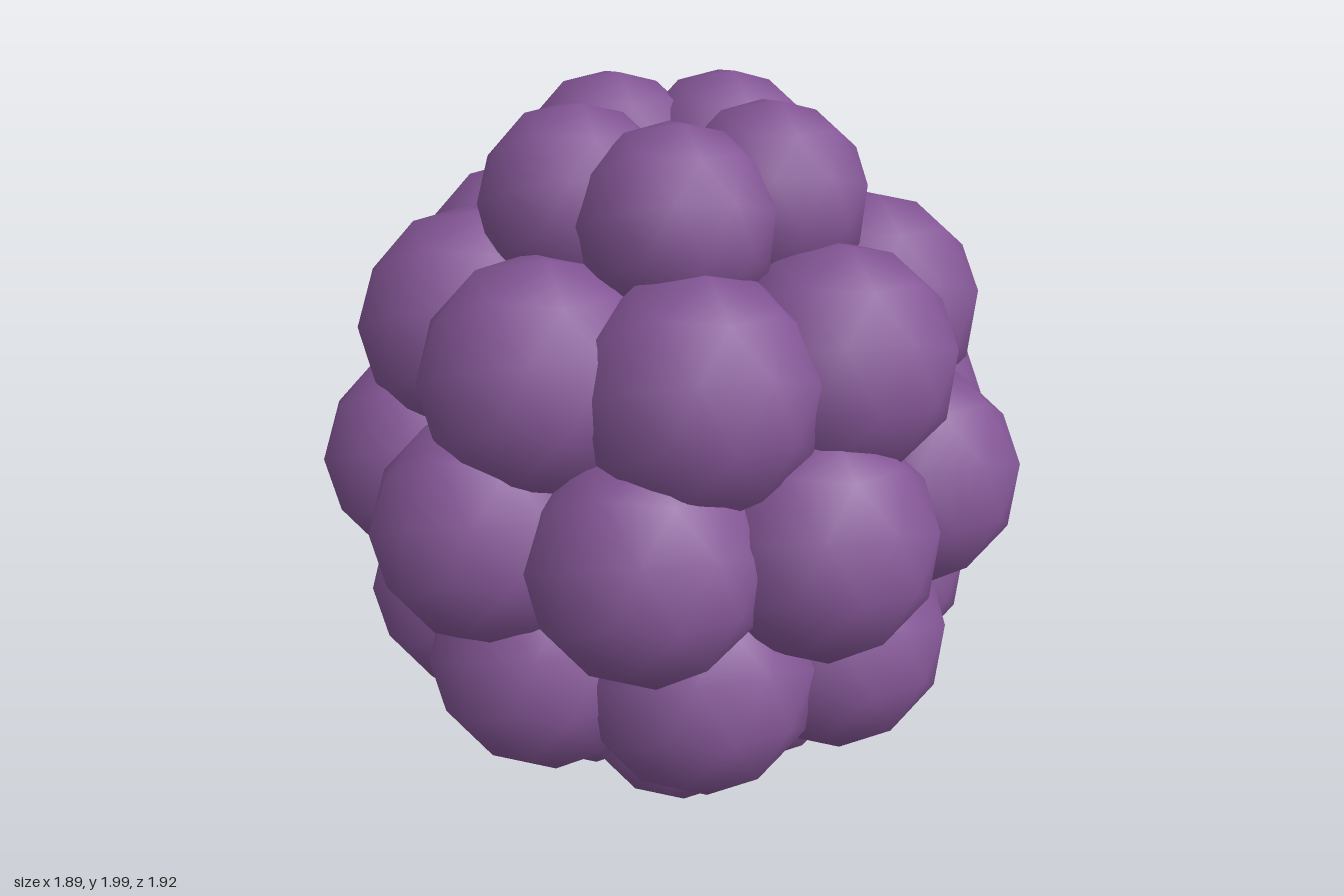
import * as THREE from 'three';

// rings of drupelets, bottom to top: height, ring radius, drupelet radius, count, start angle in steps
const RINGS = [
  { name: 'bottomRing', y: 0.27, ring: 0.263, r: 0.26, count: 5, start: 0 },
  { name: 'lowerRing', y: 0.585, ring: 0.55, r: 0.32, count: 8, start: 0.5 },
  { name: 'middleRing', y: 0.99, ring: 0.66, r: 0.312, count: 9, start: 0 },
  { name: 'upperRing', y: 1.39, ring: 0.53, r: 0.316, count: 8, start: 0.5 },
  { name: 'topRing', y: 1.74, ring: 0.263, r: 0.26, count: 5, start: 0 },
];

export function createModel() {
  const berry = new THREE.Group();
  berry.name = 'berry';
  const purple = new THREE.MeshStandardMaterial({ color: 0x845696 });
  purple.name = 'berry purple';

  // coarse smooth ball with a corner facing front and back, slightly tilted
  const ball = new THREE.IcosahedronGeometry(1, 1);
  ball.rotateX(Math.atan(2 / (1 + Math.sqrt(5))));
  ball.rotateZ(THREE.MathUtils.degToRad(85));

  for (const { name, y, ring, r, count, start } of RINGS) {
    const group = new THREE.Group();
    group.name = name;
    for (let i = 0; i < count; i++) {
      const a = ((i + start) / count) * Math.PI * 2;
      const drupelet = new THREE.Mesh(ball, purple);
      drupelet.name = 'drupelet';
      drupelet.scale.setScalar(r);
      drupelet.position.set(Math.cos(a) * ring - 0.02, y, Math.sin(a) * ring);
      group.add(drupelet);
    }
    berry.add(group);
  }

  // hidden core closing the gaps between drupelets
  const core = new THREE.Mesh(ball, purple);
  core.name = 'core';
  core.scale.set(0.55, 0.75, 0.55);
  core.position.set(-0.02, 1, 0);
  berry.add(core);
  return berry;
}
